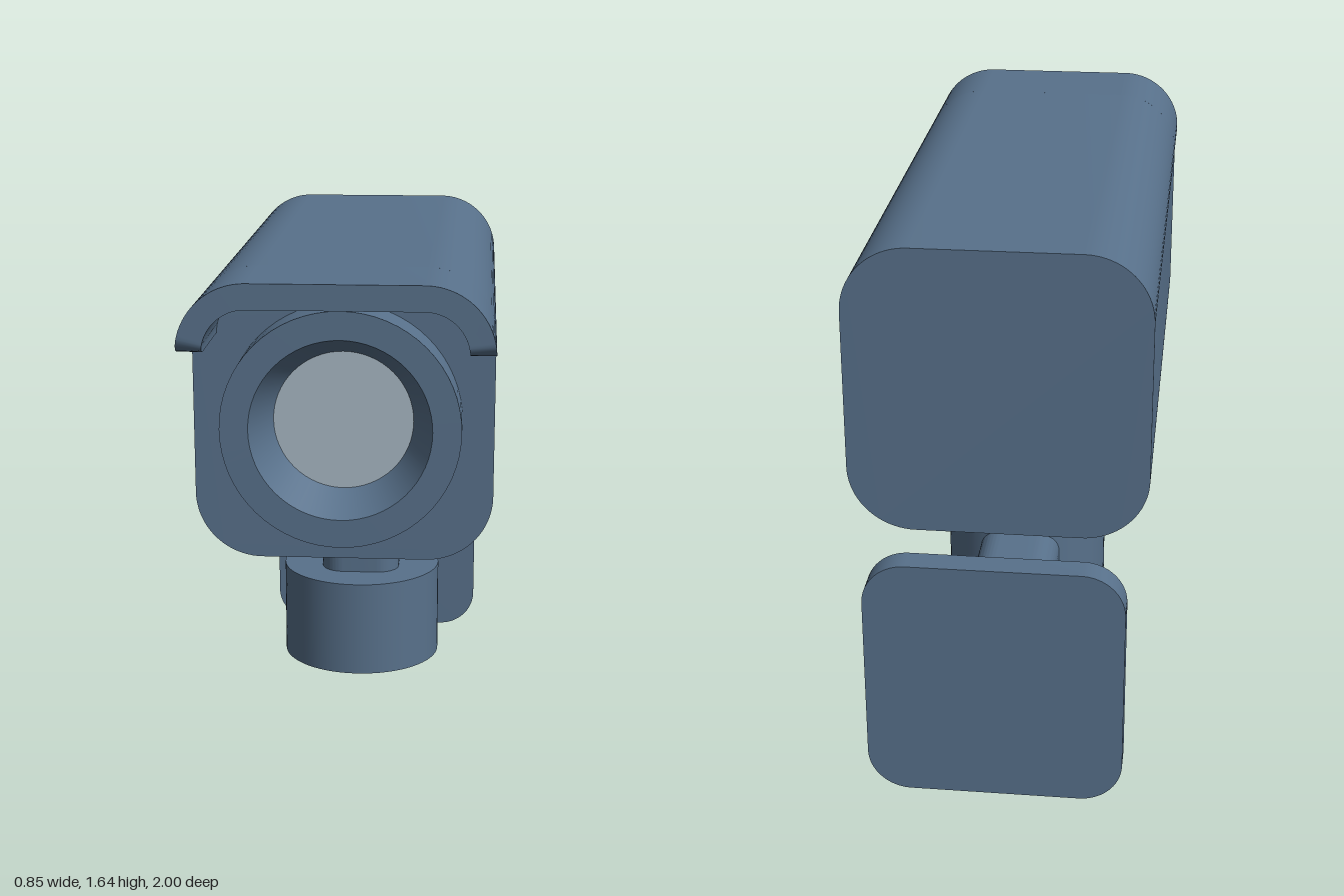
import * as THREE from 'three';
import { toCreasedNormals } from 'three/addons/utils/BufferGeometryUtils.js';

const housing = new THREE.MeshStandardMaterial({ color: 0x58718b });
housing.name = 'slate blue';
const glass = new THREE.MeshStandardMaterial({ color: 0xa8b8c4 });
glass.name = 'pale glass';

const CREASE = 0.6;

function addMesh(group, name, geometry, material, x = 0, y = 0, z = 0) {
  const mesh = new THREE.Mesh(geometry, material);
  mesh.name = name;
  mesh.position.set(x, y, z);
  group.add(mesh);
  return mesh;
}

// Rounded rectangle centred on the origin, extruded along +z
function roundedBar(w, h, r, depth) {
  const a = w / 2 - r, b = h / 2 - r;
  const s = new THREE.Shape();
  s.absarc(a, b, r, 0, Math.PI / 2);
  s.absarc(-a, b, r, Math.PI / 2, Math.PI);
  s.absarc(-a, -b, r, Math.PI, Math.PI * 1.5);
  s.absarc(a, -b, r, Math.PI * 1.5, Math.PI * 2);
  s.closePath();
  return toCreasedNormals(
    new THREE.ExtrudeGeometry(s, { depth, bevelEnabled: false, curveSegments: 10 }), CREASE);
}

// Arched hood whose lower front corners are rounded off
function visorGeometry() {
  const half = 0.235, outer = 0.19, inner = 0.12, steps = 7, round = 0.04;
  const s = new THREE.Shape();
  s.absarc(half, 0, outer, 0, Math.PI / 2);
  s.absarc(-half, 0, outer, Math.PI / 2, Math.PI);
  s.absarc(-half, 0, inner, Math.PI, Math.PI / 2, true);
  s.absarc(half, 0, inner, Math.PI / 2, 0, true);
  s.closePath();
  const g = new THREE.ExtrudeGeometry(s, { depth: 1, steps, bevelEnabled: false, curveSegments: 12 });
  const p = g.attributes.position;
  for (let i = 0; i < p.count; i++) {
    const k = Math.round(p.getZ(i) * steps);
    const t = k === 0 ? 0 : ((k - 1) / (steps - 1)) * Math.PI / 2;
    p.setZ(i, k === 0 ? 0 : 0.295 - round + round * Math.sin(t));
    // Squeeze the arc upwards towards the front edge
    const side = Math.sign(p.getX(i));
    const dx = Math.abs(p.getX(i)) - half, y = p.getY(i);
    if (dx > 1e-5) {
      const r = Math.hypot(dx, y);
      const a0 = round * (1 - Math.cos(t)) / outer;
      const a = a0 + Math.atan2(y, dx) * (1 - a0 / (Math.PI / 2));
      p.setXY(i, side * (half + r * Math.cos(a)), r * Math.sin(a));
    }
  }
  return toCreasedNormals(g, CREASE);
}

export function createModel() {
  const model = new THREE.Group();
  model.name = 'securityCamera';

  // Camera housing and hood
  addMesh(model, 'body', roundedBar(0.85, 0.845, 0.19, 1.58), housing, 0, 1.2225, -0.875);
  addMesh(model, 'visor', visorGeometry(), housing, 0, 1.455, 0.705);

  // Lens ring with a tapering recess, and the glass at its bottom
  const profile = [[0.335, 0], [0.335, 0.135], [0.255, 0.135], [0.197, 0.002]]
    .map(([r, y]) => new THREE.Vector2(r, y));
  const ring = new THREE.LatheGeometry(profile, 64);
  ring.rotateX(Math.PI / 2);
  addMesh(model, 'lensRing', toCreasedNormals(ring, 0.4), housing, 0, 1.21, 0.705);
  addMesh(model, 'lensGlass', new THREE.CircleGeometry(0.199, 64), glass, 0, 1.21, 0.709);

  // Mount: post, swivel joint, arm and wall plate
  const post = roundedBar(0.25, 0.25, 0.07, 0.3);
  post.rotateX(-Math.PI / 2);
  addMesh(model, 'post', post, housing, 0, 0.515, -0.085);
  addMesh(model, 'swivelJoint', new THREE.CylinderGeometry(0.255, 0.255, 0.305, 64), housing, 0, 0.3775, -0.085);
  addMesh(model, 'arm', roundedBar(0.25, 0.25, 0.07, 0.72), housing, 0, 0.377, -0.93);
  addMesh(model, 'wallPlate', roundedBar(0.745, 0.75, 0.125, 0.08), housing, 0, 0.375, -1);

  return model;
}
